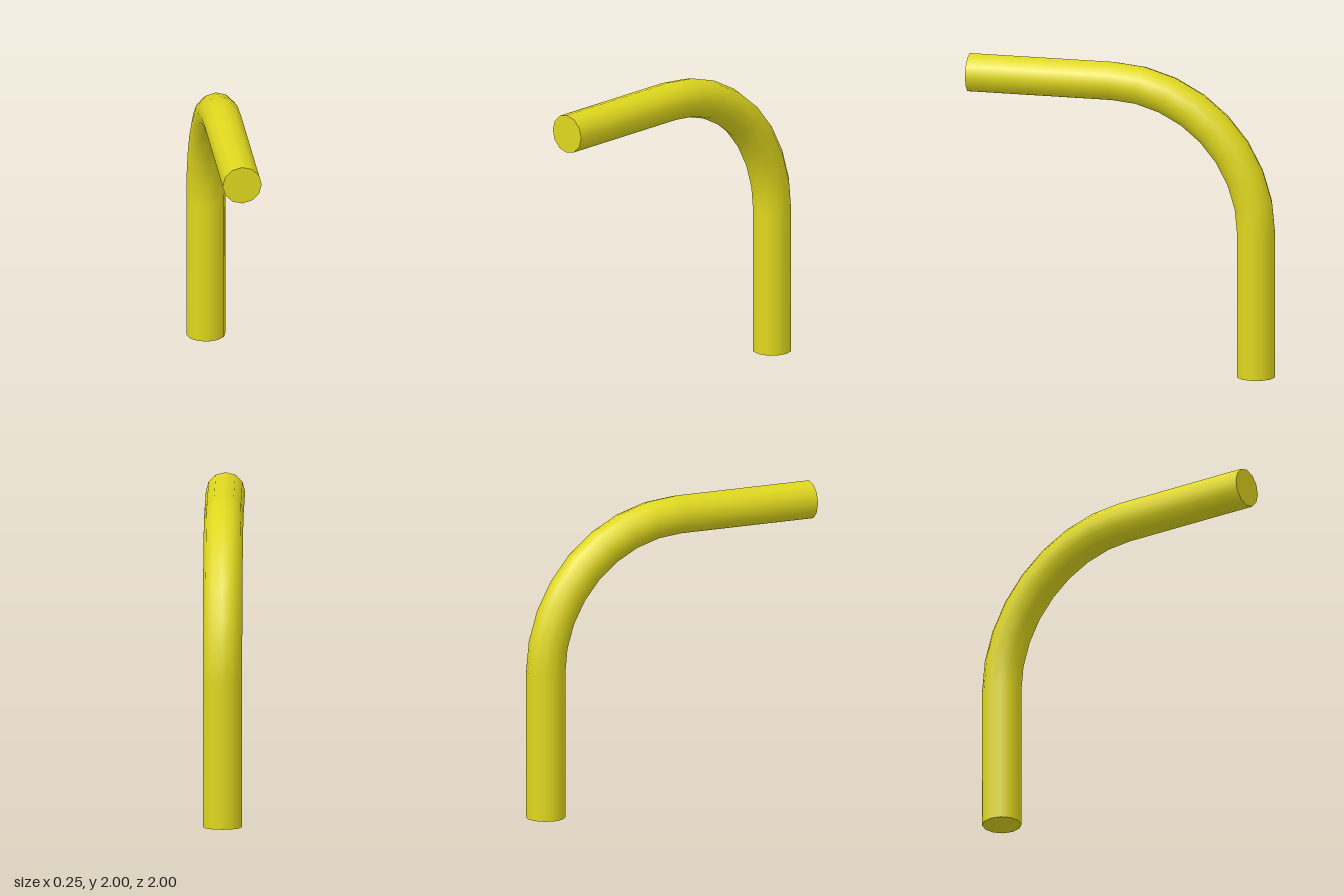
import * as THREE from 'three';

const RADIUS = 0.125;      // pipe radius
const BEND = 0.9375;       // centre-line radius of the elbow
const BEND_STEPS = 8;
const CENTRE_Y = 0.9375, CENTRE_Z = 0.0625; // centre of the elbow arc

// Stations along the pipe: foot, elbow from upright to level, open front end
function pipeStations() {
  const stations = [{ y: 0, z: CENTRE_Z - BEND, angle: 0 }];
  for (let i = 0; i <= BEND_STEPS; i++) {
    const angle = (i / BEND_STEPS) * Math.PI / 2;
    stations.push({
      y: CENTRE_Y + BEND * Math.sin(angle),
      z: CENTRE_Z - BEND * Math.cos(angle),
      angle,
    });
  }
  stations.push({ y: CENTRE_Y + BEND, z: 1, angle: Math.PI / 2 });
  return stations;
}

// Bend a capped cylinder by moving each ring, with its normals, to its station
function bentPipe() {
  const stations = pipeStations();
  const last = stations.length - 1;
  const geometry = new THREE.CylinderGeometry(RADIUS, RADIUS, 1, 12, last);
  const { position, normal } = geometry.attributes;
  const xAxis = new THREE.Vector3(1, 0, 0);
  const p = new THREE.Vector3(), n = new THREE.Vector3();
  for (let i = 0; i < position.count; i++) {
    p.fromBufferAttribute(position, i);
    n.fromBufferAttribute(normal, i);
    const s = stations[Math.round((p.y + 0.5) * last)];
    p.setY(0).applyAxisAngle(xAxis, s.angle);
    n.applyAxisAngle(xAxis, s.angle);
    position.setXYZ(i, p.x, p.y + s.y, p.z + s.z);
    normal.setXYZ(i, n.x, n.y, n.z);
  }
  return geometry;
}

export function createModel() {
  const group = new THREE.Group();
  group.name = 'bentPipe';
  const pipe = new THREE.Mesh(
    bentPipe(),
    new THREE.MeshStandardMaterial({ color: 0xe0d81e })
  );
  pipe.name = 'pipe';
  group.add(pipe);
  return group;
}
